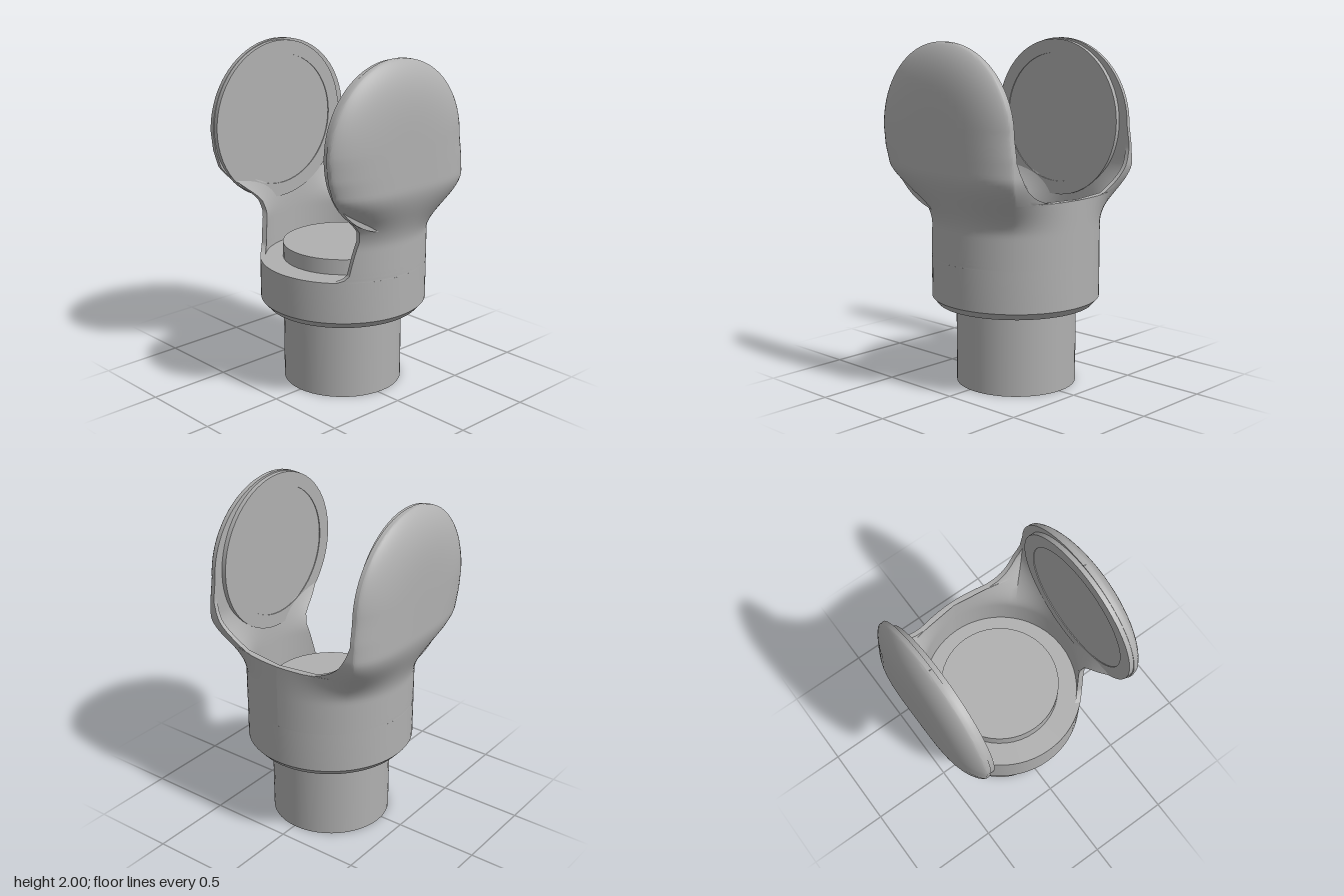
import * as THREE from 'three';
import { toCreasedNormals } from 'three/addons/utils/BufferGeometryUtils.js';

const CX = -0.005, CZ = -0.04, R = 0.49, EAR_Y = 1.51;

// Linear lookup in a list of [key, value] pairs
function lookup(table, k) {
  if (k <= table[0][0]) return table[0][1];
  for (let i = 1; i < table.length; i++) {
    const [k0, v0] = table[i - 1], [k1, v1] = table[i];
    if (k <= k1) return v0 + (v1 - v0) * (k - k0) / (k1 - k0);
  }
  return table[table.length - 1][1];
}

// Front edge of the side wall, and back opening half width, by height
const frontEdge = [[0.76, 0.51], [0.775, 0.42], [0.8, 0.37], [0.9, 0.33], [1.0, 0.285], [1.06, 0.29],
  [1.1, 0.325], [1.15, 0.38], [1.22, 0.435], [1.3, 0.484], [1.4, 0.517], [1.51, 0.53]];
const backOpening = [[1.135, 0], [1.14, 0.25], [1.16, 0.31], [1.18, 0.35], [1.21, 0.39], [1.25, 0.42],
  [1.32, 0.455], [1.38, 0.475]];
const backEdge = [[1.28, -0.5], [1.4, -0.492], [1.51, -0.475]];

// One closed wall section: outer side, outer back, inner back, inner side
function section(y) {
  const v = Math.max(0, (y - EAR_Y) / 0.49), c = Math.sqrt(Math.max(0, 1 - v * v));
  const zf = v > 0 ? 0.04 + 0.49 * c : lookup(frontEdge, y);
  const zb = v > 0 ? 0.04 - 0.515 * c : lookup(backEdge, y);
  const mid = (zf + zb) / 2, half = (zf - zb) / 2;
  const xb = lookup(backOpening, y), inset = Math.min(0.025, half * 0.2);
  const w = THREE.MathUtils.smoothstep(y, 0.95, 1.3);
  const pts = [];
  // blend from the round collar to the flat-sided ear
  const add = (x, z, r) => {
    const dz = z - CZ, k = r / Math.hypot(x, dz);
    pts.push([THREE.MathUtils.lerp(x * k, x, w), y, THREE.MathUtils.lerp(CZ + dz * k, z, w)]);
  };
  const N = 24, M = 10;
  for (let i = 0; i <= N; i++) {
    const q = Math.cos(Math.PI * i / N), d2 = Math.min(1, v * v + q * q * (1 - v * v));
    add(0.5 + 0.095 * Math.pow(1 - d2 * d2, 0.8), mid + half * q, R);
  }
  const back = x => zb - 0.03 * (1 - (x / 0.5) ** 2);
  for (let i = 1; i <= M; i++) {
    const x = 0.5 + (xb - 0.5) * i / M;
    add(x, back(x), R);
  }
  for (let i = 0; i <= M; i++) {
    const x = xb + (0.475 - xb) * i / M;
    add(x, back(x) + inset, 0.46);
  }
  for (let i = 1; i <= N; i++) {
    const t = (1 - Math.cos(Math.PI * i / N)) / 2;
    add(0.475, zb + inset + (zf - zb - inset) * t, 0.46);
  }
  return pts;
}

// Half of the forked shell, lofted through the sections
function shellHalf(side) {
  const levels = [0.76, 0.767, 0.775, 0.787, 1.135, 1.14];
  for (let y = 0.8; y < EAR_Y; y += 0.02) levels.push(y);
  for (let i = 0; i <= 20; i++) levels.push(EAR_Y + 0.49 * Math.sin(Math.PI / 2 * i / 20));
  levels.sort((a, b) => a - b);
  const rows = levels.map(section), n = rows[0].length;
  const index = [];
  for (let i = 0; i < rows.length - 1; i++) {
    for (let j = 0; j < n; j++) {
      const a = i * n + j, b = i * n + (j + 1) % n, c = b + n, d = a + n;
      if (side > 0) index.push(a, b, c, a, c, d);
      else index.push(a, c, b, a, d, c);
    }
  }
  const g = new THREE.BufferGeometry();
  const pos = rows.flat().flatMap(([x, y, z]) => [x * side, y, z]);
  g.setAttribute('position', new THREE.Float32BufferAttribute(pos, 3));
  g.setIndex(index);
  return toCreasedNormals(g, 0.6);
}

function lathe(profile, segments) {
  const pts = profile.map(([x, y]) => new THREE.Vector2(x, y));
  return toCreasedNormals(new THREE.LatheGeometry(pts, segments), 0.5);
}

export function createModel() {
  const model = new THREE.Group();
  model.name = 'forkBracket';
  const grey = new THREE.MeshStandardMaterial({ color: 0xb0b0b0 });
  grey.name = 'grey';
  const add = (name, geometry, x, y, z) => {
    const mesh = new THREE.Mesh(geometry, grey);
    mesh.name = name;
    mesh.position.set(x, y, z);
    model.add(mesh);
    return mesh;
  };

  // Central shaft and chamfered collar
  add('shaft', new THREE.CylinderGeometry(0.352, 0.352, 0.85, 48), CX - 0.005, 0.425, CZ);
  add('collar', lathe([[0, 0.48], [0.455, 0.48], [R, 0.52], [R, 0.76], [0, 0.76]], 64), CX, 0, CZ);

  // Two mirrored shell halves, each with a round pad inside its ear
  for (const side of [1, -1]) {
    const label = side > 0 ? 'left' : 'right';
    add(label + 'ForkShell', shellHalf(side), CX, 0, 0);
    const pad = lathe([[0, 0], [0.472, 0], [0.472, 0.035], [0.39, 0.035], [0.39, 0.03], [0, 0.03]], 64);
    add(label + 'Pad', pad, CX + side * 0.483, 1.52, 0.052).rotation.z = side * Math.PI / 2;
  }
  return model;
}
